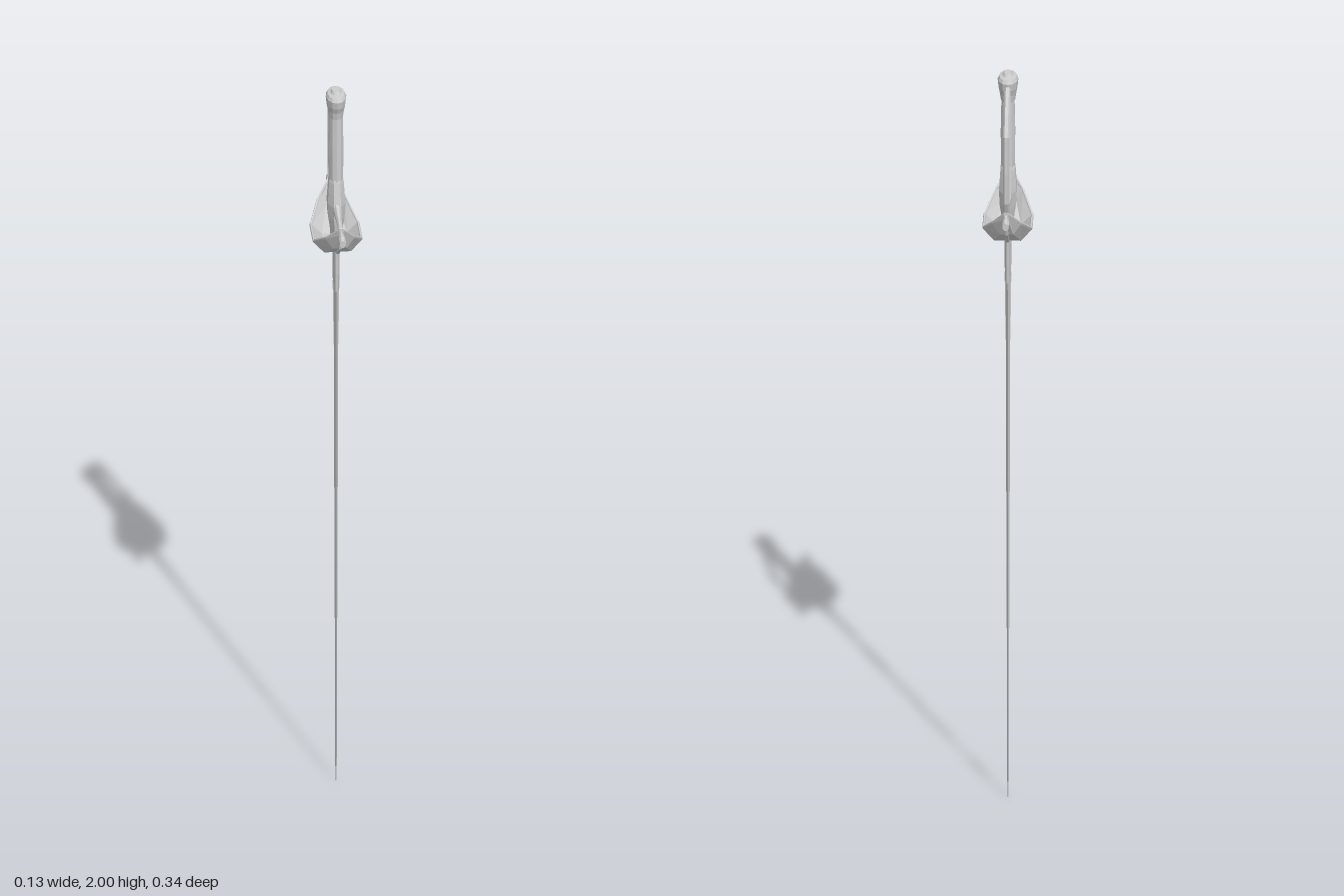
import * as THREE from 'three';

const material = new THREE.MeshStandardMaterial({ color: 0xcccccc, flatShading: true });

// Skins a row of closed point loops and caps both ends
function skin(name, loops) {
  const n = loops[0].length, pos = loops.flat(2), index = [];
  for (let k = 0; k < loops.length - 1; k++) {
    for (let i = 0; i < n; i++) {
      const a = k * n + i, b = k * n + (i + 1) % n;
      index.push(a, b, b + n, a, b + n, a + n);
    }
  }
  [0, loops.length - 1].forEach((k, end) => {
    const loop = loops[k], centre = pos.length / 3;
    // a shell-like loop (even, thin) is capped by pairing opposite points
    if (name === 'cupGuard') {
      for (let i = 0; i < n / 2 - 1; i++) {
        const q = [i, i + 1, n - 2 - i, n - 1 - i].map(v => v + k * n);
        if (end) index.push(q[0], q[1], q[2], q[0], q[2], q[3]);
        else index.push(q[0], q[2], q[1], q[0], q[3], q[2]);
      }
      return;
    }
    for (let c = 0; c < 3; c++) pos.push(loop.reduce((s, p) => s + p[c], 0) / n);
    for (let i = 0; i < n; i++) {
      const a = k * n + i, b = k * n + (i + 1) % n;
      index.push(centre, end ? a : b, end ? b : a);
    }
  });
  const g = new THREE.BufferGeometry();
  g.setAttribute('position', new THREE.Float32BufferAttribute(pos, 3));
  g.setIndex(index);
  const flat = g.toNonIndexed();
  flat.computeVertexNormals();
  const mesh = new THREE.Mesh(flat, material);
  mesh.name = name;
  return mesh;
}

// Upright elliptical loft; each row is [y, x radius, z radius, z offset]
function loft(name, sides, rows, turn = 0) {
  return skin(name, rows.map(([y, rx, rz, dz = 0]) =>
    Array.from({ length: sides }, (_, i) => {
      const a = (i / sides) * Math.PI * 2 + turn;
      return [Math.sin(a) * rx, y, Math.cos(a) * rz + dz];
    })));
}

// Bar following [y, z] points in the middle plane, mitred at its bends
function bar(name, path, rx, r, sides = 6) {
  return skin(name, path.map(([y, z], k) => {
    const p = path[Math.max(k - 1, 0)], q = path[Math.min(k + 1, path.length - 1)];
    const d = new THREE.Vector2(q[0] - p[0], q[1] - p[1]).normalize();
    return Array.from({ length: sides }, (_, i) => {
      const a = (i / sides) * Math.PI * 2;
      return [Math.cos(a) * rx, y + Math.sin(a) * r * d.y, z - Math.sin(a) * r * d.x];
    });
  }));
}

export function createModel() {
  const group = new THREE.Group();

  // Slim diamond blade with a stronger collar at its base
  group.add(loft('blade', 4, [
    [0, 0.0005, 0.001], [0.05, 0.002, 0.006], [0.28, 0.0025, 0.008],
    [1.03, 0.005, 0.014], [1.42, 0.006, 0.018], [1.57, 0.006, 0.02],
  ]));
  group.add(loft('bladeCollar', 8, [
    [1.425, 0.007, 0.019], [1.48, 0.009, 0.024], [1.58, 0.009, 0.03],
  ], Math.PI / 8));
  // Narrow raised ridge on both faces of the blade
  group.add(loft('bladeRidge', 4, [
    [1.15, 0.003, 0.001], [1.3, 0.0065, 0.005], [1.45, 0.0085, 0.006],
  ]));

  // Hub between the blade and the grip
  group.add(loft('hub', 8, [
    [1.55, 0.012, 0.028], [1.6, 0.016, 0.03], [1.64, 0.022, 0.038], [1.68, 0.024, 0.042],
    [1.71, 0.022, 0.035], [1.74, 0.02, 0.028], [1.752, 0.017, 0.024],
  ], Math.PI / 8));

  // Grip and pommel
  group.add(loft('grip', 10, [
    [1.745, 0.018, 0.025], [1.84, 0.019, 0.024], [1.935, 0.017, 0.023],
  ]));
  group.add(loft('pommel', 12, [
    [1.925, 0.018, 0.024], [1.945, 0.021, 0.028], [1.962, 0.024, 0.036],
    [1.982, 0.026, 0.04], [1.991, 0.022, 0.034], [1.993, 0.014, 0.021], [2, 0.01, 0.015],
  ]));

  // Crossguard arms with flared ends
  for (const turn of [0, Math.PI]) {
    const arm = loft('crossguardArm', 8, [
      [0.02, 0.013, 0.026, -1.672], [0.045, 0.01, 0.016, -1.669], [0.075, 0.007, 0.01, -1.664],
      [0.135, 0.006, 0.008, -1.656], [0.155, 0.009, 0.011, -1.653], [0.172, 0.008, 0.01, -1.65],
    ], Math.PI / 8);
    arm.geometry.rotateX(Math.PI / 2).rotateY(turn);
    group.add(arm);
  }

  // Knuckle bow from the pommel to the rear crossguard arm
  group.add(bar('knuckleBow', [
    [1.975, -0.025], [1.955, -0.055], [1.92, -0.095], [1.88, -0.133],
    [1.78, -0.136], [1.7, -0.133], [1.655, -0.112],
  ], 0.008, 0.008));

  // Boat-shaped cup: [z, rim x, rim y, floor x, floor y]
  const stations = [
    [0.135, 0.006, 1.668, 0.003, 1.655], [0.1, 0.037, 1.628, 0.017, 1.598],
    [0.04, 0.0625, 1.587, 0.034, 1.554],
  ];
  const hull = [
    ...stations.map(([z, ...rest]) => [-z, ...rest]), ...stations.slice().reverse(),
  ];
  const t = 0.008;
  group.add(skin('cupGuard', hull.map(([z, rx, ry, fx, fy]) => [
    [-rx, ry, z], [-fx, fy, z], [fx, fy, z], [rx, ry, z],
    [rx * 0.92, ry + t * 0.5, z], [fx * 0.92, fy + t, z],
    [-fx * 0.92, fy + t, z], [-rx * 0.92, ry + t * 0.5, z],
  ])));

  // Thin raised rim along both edges of the cup
  for (const side of [1, -1]) {
    const rim = skin('cupRim', hull.map(([z, rx, ry]) =>
      Array.from({ length: 6 }, (_, i) => {
        const a = (i / 6) * Math.PI * 2;
        return [side * (rx - 0.003) + Math.cos(a) * 0.0035, ry + 0.002 + Math.sin(a) * 0.005, z];
      })));
    group.add(rim);
  }

  // Ribs under the cup ends that tie it to the crossguard
  for (const s of [1, -1]) {
    group.add(bar('cupRib', [
      [1.665, s * 0.122], [1.602, s * 0.101], [1.557, s * 0.045], [1.557, s * 0.015],
    ], 0.006, 0.007));
  }
  return group;
}
